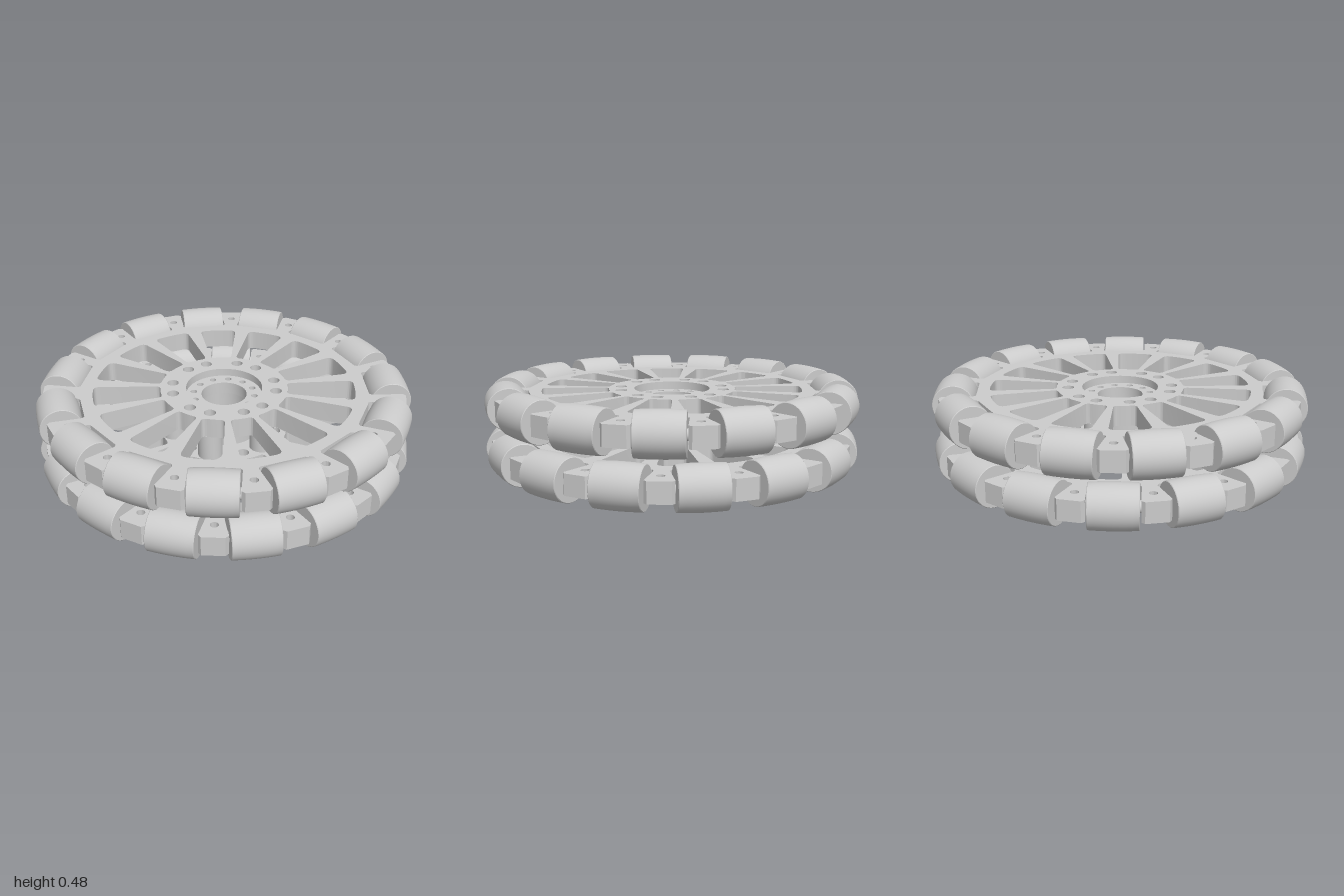
import * as THREE from 'three';
import { toCreasedNormals } from 'three/addons/utils/BufferGeometryUtils.js';

const material = new THREE.MeshStandardMaterial({ color: 0xcccccc });
const RAD = Math.PI / 180;
const COUNT = 15, STEP = 360 / COUNT;
const THICK = 0.107, AXLE_R = 0.883, HALF_LEN = 0.12;
const LOWER_Y = 0.114, UPPER_Y = 0.363;

// Polar point in the plate outline; angle 0 is -x, 90 is -z
const polar = (r, deg) => new THREE.Vector2(-r * Math.cos(deg * RAD), r * Math.sin(deg * RAD));

function mesh(name, geometry, parent) {
  const m = new THREE.Mesh(geometry, material);
  m.name = name;
  parent.add(m);
  return m;
}

function roundHole(center, radius) {
  const p = new THREE.Path();
  p.absarc(center.x, center.y, radius, 0, Math.PI * 2, true);
  return p;
}

function ringShape(outer, inner) {
  const shape = new THREE.Shape();
  shape.absarc(0, 0, outer, 0, Math.PI * 2, false);
  shape.holes.push(roundHole(new THREE.Vector2(), inner));
  return shape;
}

// Horizontal slab centred on y = 0
function slab(shape, depth) {
  const g = new THREE.ExtrudeGeometry(shape, { depth, bevelEnabled: false, curveSegments: 16 });
  g.translate(0, 0, -depth / 2);
  g.rotateX(-Math.PI / 2);
  return toCreasedNormals(g, 0.6);
}

// Wedge-shaped window with rounded corners
function wedgeSlot(c) {
  const r0 = 0.342, r1 = 0.7, k0 = 0.025, k1 = 0.035;
  const h0 = 9.6, h1 = 8.7;
  const d0 = k0 / r0 / RAD, d1 = k1 / r1 / RAD;
  const p = new THREE.Path();
  const line = (end) => p.lineTo(end.x, end.y);
  const curve = (ctrl, end) => p.quadraticCurveTo(ctrl.x, ctrl.y, end.x, end.y);
  const start = polar(r0, c - h0 + d0);
  p.moveTo(start.x, start.y);
  curve(polar(r0 / Math.cos((h0 - d0) * RAD), c), polar(r0, c + h0 - d0));
  curve(polar(r0, c + h0), polar(r0 + k0, c + h0));
  line(polar(r1 - k1, c + h1));
  curve(polar(r1, c + h1), polar(r1, c + h1 - d1));
  curve(polar(r1 / Math.cos((h1 - d1) * RAD), c), polar(r1, c - h1 + d1));
  curve(polar(r1, c - h1), polar(r1 - k1, c - h1));
  line(polar(r0 + k0, c - h0));
  curve(polar(r0, c - h0), start);
  return p;
}

// Rim with roller pockets and brackets, spokes and bolt holes
function plateGeometry(rollerAngle, slotAngle) {
  const outline = [];
  for (let i = 0; i < COUNT; i++) {
    const a = rollerAngle + i * STEP;
    // pocket corner at radial distance r and sideways offset t from the roller's centre line
    const corner = (r, t) => polar(Math.hypot(r, t), a + Math.atan2(t, r) / RAD);
    outline.push(polar(0.965, a - 8.6), corner(0.94, -0.127), corner(0.777, -0.127),
      corner(0.763, -0.115), corner(0.763, 0.115), corner(0.777, 0.127),
      corner(0.94, 0.127), polar(0.965, a + 8.6));
  }
  // counter-clockwise, so that the hole walls face inward
  const shape = new THREE.Shape(outline.reverse());
  for (let i = 0; i < COUNT; i++) {
    shape.holes.push(wedgeSlot(slotAngle + i * STEP));
    shape.holes.push(roundHole(polar(0.87, rollerAngle + (i + 0.5) * STEP), 0.021));
  }
  for (let i = 0; i < 6; i++) {
    for (const b of [37, 61]) shape.holes.push(roundHole(polar(0.28, b + i * 60), 0.031));
  }
  shape.holes.push(roundHole(new THREE.Vector2(), 0.205));
  return slab(shape, THICK);
}

// Thinner centre disc with bore and a ring of small holes
function hubGeometry(depth) {
  const shape = ringShape(0.206, 0.122);
  for (let i = 0; i < 12; i++) shape.holes.push(roundHole(polar(0.165, i * 30), 0.018));
  return slab(shape, depth);
}

// Slightly crowned roller with softened end edges
function rollerGeometry() {
  const pts = [new THREE.Vector2(0, -HALF_LEN), new THREE.Vector2(0.107, -HALF_LEN)];
  for (let i = 0; i <= 8; i++) {
    const s = -1 + i / 4;
    pts.push(new THREE.Vector2(0.114 - 0.004 * s * s, s * (HALF_LEN - 0.003)));
  }
  pts.push(new THREE.Vector2(0.107, HALF_LEN), new THREE.Vector2(0, HALF_LEN));
  const g = new THREE.LatheGeometry(pts, 40);
  g.rotateX(Math.PI / 2);
  return toCreasedNormals(g, 0.6);
}

export function createModel() {
  const wheel = new THREE.Group();
  wheel.name = 'omniWheel';
  const roller = rollerGeometry();
  const axle = new THREE.CylinderGeometry(0.03, 0.03, 0.265, 16).rotateX(Math.PI / 2);
  const hubDepth = 0.065;
  const hub = hubGeometry(hubDepth);

  // Two layers, turned half a roller step against each other
  const layers = [
    { name: 'lower', y: LOWER_Y, roll: 13, slot: 19, out: -1 },
    { name: 'upper', y: UPPER_Y, roll: 1, slot: 7, out: 1 },
  ];
  for (const L of layers) {
    const layer = new THREE.Group();
    layer.name = L.name + 'Layer';
    layer.position.y = L.y;
    wheel.add(layer);
    mesh('spokedPlate', plateGeometry(L.roll, L.slot), layer);
    mesh('hubDisc', hub, layer).position.y = (-L.out * (THICK - hubDepth)) / 2;
    for (let i = 0; i < COUNT; i++) {
      const unit = new THREE.Group();
      unit.name = 'rollerUnit';
      unit.rotation.y = -(L.roll + i * STEP) * RAD;
      layer.add(unit);
      mesh('roller', roller, unit).position.x = -AXLE_R;
      mesh('axle', axle, unit).position.x = -AXLE_R;
    }
  }

  // Hub tube and bolt spacers between the plates
  const gap = UPPER_Y - LOWER_Y - THICK, midY = (UPPER_Y + LOWER_Y) / 2;
  mesh('hubTube', slab(ringShape(0.19, 0.122), gap), wheel).position.y = midY;
  const spacer = slab(ringShape(0.064, 0.026), gap);
  for (let i = 0; i < 6; i++) {
    const p = polar(0.28, 37 + i * 60);
    mesh('spacer', spacer, wheel).position.set(p.x, midY, -p.y);
  }
  return wheel;
}
